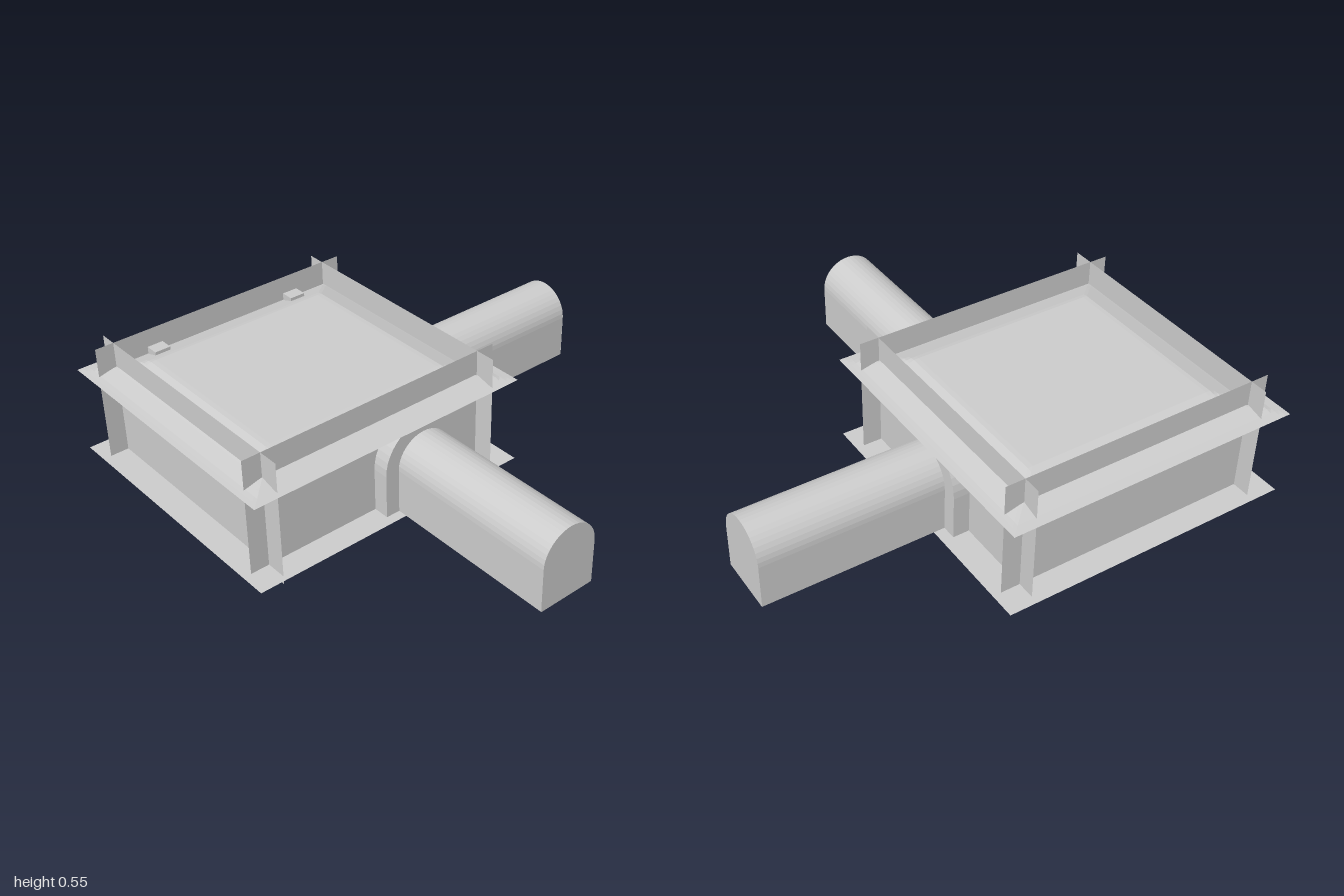
import * as THREE from 'three';

const stone = new THREE.MeshStandardMaterial({ color: 0xcccccc, side: THREE.DoubleSide, flatShading: true });
stone.name = 'grey stone';

const FLOOR = 0.037;               // floor level
const TOP = 0.545;                 // top of the walls
const DOOR_X = -0.185, DOOR_Z = -0.34;

function add(parent, name, geometry) {
  const mesh = new THREE.Mesh(geometry, stone);
  mesh.name = name;
  parent.add(mesh);
  return mesh;
}

// Round-topped doorway outline, centred on cx
function arch(path, cx, half, bottom, top) {
  path.moveTo(cx - half, bottom);
  path.lineTo(cx + half, bottom);
  path.lineTo(cx + half, top - half);
  path.absarc(cx, top - half, half, 0, Math.PI, false);
  path.lineTo(cx - half, bottom);
  return path;
}

// Upright sheet in the xy plane, with an optional doorway
function wallGeometry(x0, x1, doorAt) {
  const s = new THREE.Shape();
  s.moveTo(x0, 0); s.lineTo(x1, 0); s.lineTo(x1, TOP); s.lineTo(x0, TOP); s.closePath();
  if (doorAt !== undefined) s.holes.push(arch(new THREE.Path(), doorAt, 0.12, FLOOR, 0.35));
  return new THREE.ShapeGeometry(s, 8);
}

// Horizontal sheet shared by floor and ceiling
function slab(height) {
  const g = new THREE.PlaneGeometry(1.27, 1.212, 60, 60).rotateX(-Math.PI / 2);
  const p = g.attributes.position;
  for (let i = 0; i < p.count; i++) {
    const inset = Math.min(0.635 - Math.abs(p.getX(i)), 0.606 - Math.abs(p.getZ(i)));
    p.setY(i, height(inset));
  }
  g.computeVertexNormals();
  return g.translate(-0.365, 0, -0.371);
}

// Ceiling profile: flat rim, then a gentle rise to a plateau
function ceilingHeight(d) {
  const steps = [[0, 0.415], [0.04, 0.419], [0.115, 0.438], [0.215, 0.47], [1, 0.472]];
  for (let i = 1; i < steps.length; i++) {
    const [a, ya] = steps[i - 1], [b, yb] = steps[i];
    if (d <= b) return ya + (yb - ya) * (d - a) / (b - a);
  }
  return 0.472;
}

// Closed-ended tunnel plus the protruding door surround; runs along +z from the wall
function passage(name, length) {
  const g = new THREE.Group();
  g.name = name;
  const shell = arch(new THREE.Shape(), 0, 0.128, FLOOR, 0.357);
  shell.holes.push(arch(new THREE.Path(), 0, 0.118, FLOOR + 0.008, 0.347));
  add(g, 'tunnelShell', new THREE.ExtrudeGeometry(shell, { depth: length, bevelEnabled: false, curveSegments: 10 }));
  const cap = add(g, 'tunnelEnd', new THREE.ShapeGeometry(arch(new THREE.Shape(), 0, 0.128, FLOOR, 0.357), 10));
  cap.position.z = length + 0.001;

  // Surround: two legs and an arched head
  const ring = new THREE.Shape();
  ring.moveTo(0.19, FLOOR);
  ring.lineTo(0.19, 0.228);
  ring.absarc(0, 0.228, 0.19, 0, Math.PI, false);
  ring.lineTo(-0.19, FLOOR);
  ring.lineTo(-0.123, FLOOR);
  ring.lineTo(-0.123, 0.23);
  ring.absarc(0, 0.23, 0.123, Math.PI, 0, true);
  ring.lineTo(0.123, FLOOR);
  ring.closePath();
  const surround = add(g, 'doorSurround', new THREE.ExtrudeGeometry(ring, { depth: 0.14, bevelEnabled: false, curveSegments: 10 }));
  surround.position.z = -0.07;
  return g;
}

export function createModel() {
  const model = new THREE.Group();
  model.name = 'chamberWithPassages';

  // Floor and raised ceiling
  add(model, 'floor', slab(() => FLOOR));
  add(model, 'ceiling', slab(ceilingHeight));

  // Four crossing wall sheets
  add(model, 'frontWall', wallGeometry(-0.965, 0.235, DOOR_X)).position.z = 0.123;
  const back = add(model, 'backWall', wallGeometry(-0.235, 0.965));
  back.rotation.y = Math.PI;
  back.position.z = -0.866;
  const left = add(model, 'leftWall', wallGeometry(-0.213, 0.943, -DOOR_Z));
  left.rotation.y = Math.PI / 2;
  left.position.x = 0.152;
  const right = add(model, 'rightWall', wallGeometry(-0.943, 0.213));
  right.rotation.y = -Math.PI / 2;
  right.position.x = -0.884;

  // Pillars along the back wall, just breaking through the ceiling
  for (const x of [-0.703, -0.03]) {
    const h = 0.47 - FLOOR;
    add(model, 'pillar', new THREE.BoxGeometry(0.07, h, 0.057)).position.set(x, FLOOR + h / 2, -0.834);
  }

  // Passages leaving through the front and the left side
  const front = passage('frontPassage', 0.846);
  front.position.set(DOOR_X, 0, 0.123);
  const side = passage('leftPassage', 0.846);
  side.rotation.y = Math.PI / 2;
  side.position.set(0.152, 0, DOOR_Z);
  model.add(front, side);
  return model;
}
